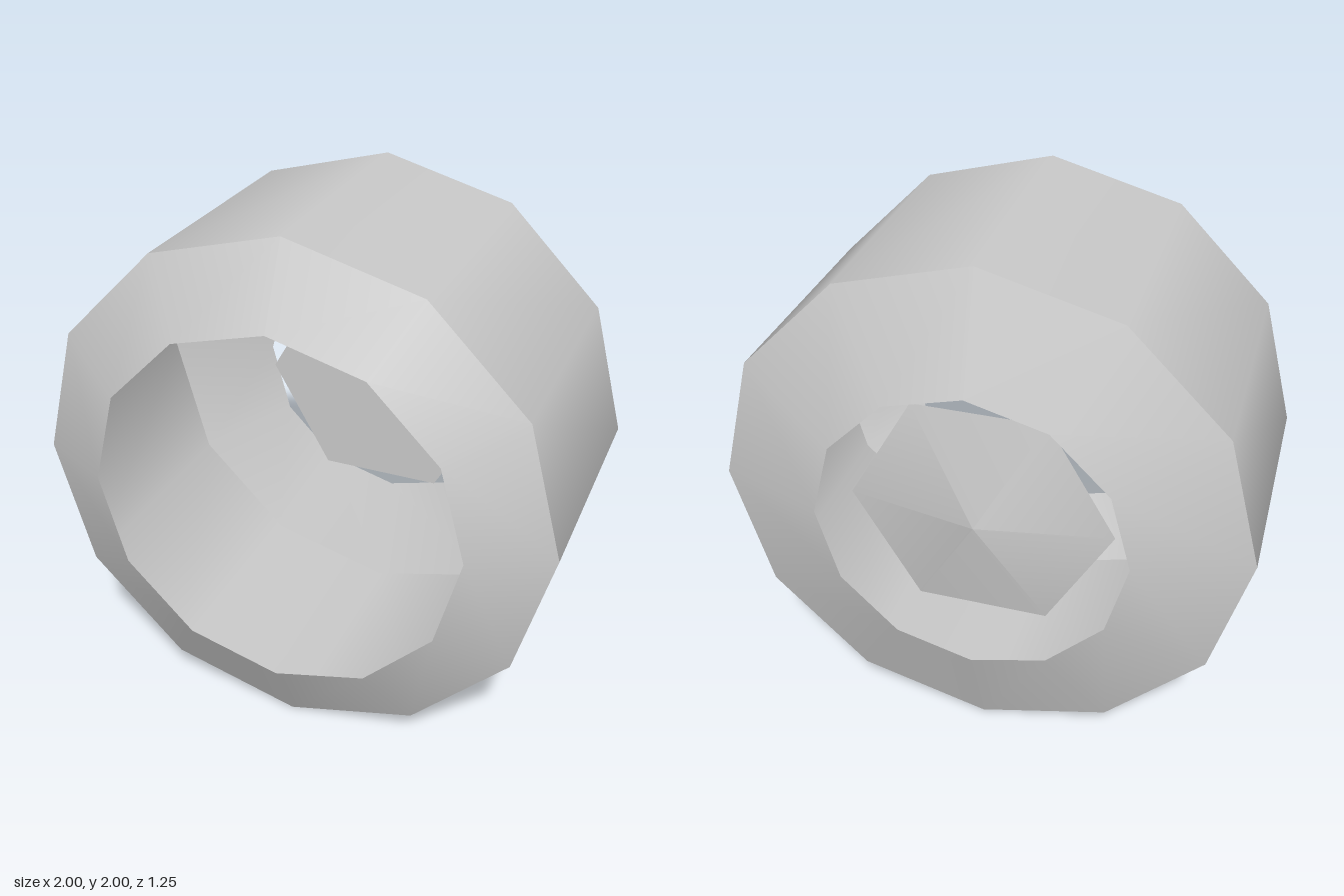
import * as THREE from 'three';

export function createModel() {
  const model = new THREE.Group();
  const grey = new THREE.MeshStandardMaterial({ color: 0xcccccc, side: THREE.DoubleSide });
  grey.name = 'grey';

  const SIDES = 12;

  // Open, thin-walled band along z from a back ring to a front ring
  function band(name, zBack, rBack, zFront, rFront) {
    const geo = new THREE.CylinderGeometry(rFront, rBack, zFront - zBack, SIDES, 1, true);
    geo.rotateX(Math.PI / 2);
    const mesh = new THREE.Mesh(geo, grey);
    mesh.name = name;
    mesh.position.set(0, 1, (zFront + zBack) / 2);
    model.add(mesh);
  }

  // Hollow twelve-sided shell
  band('frontBevel', 0.485, 1, 0.625, 0.71);
  band('outerWall', -0.485, 1, 0.485, 1);
  band('backBevel', -0.625, 0.585, -0.485, 1);

  // Six-sided shallow cone in the back opening, flat towards the front
  const height = 0.09;
  const cone = new THREE.ConeGeometry(0.5, height, 6, 1, false, Math.PI / 2);
  cone.rotateX(-Math.PI / 2);
  const hub = new THREE.Mesh(cone, grey);
  hub.name = 'hubCap';
  hub.position.set(0, 1, -0.47 - height / 2);
  model.add(hub);

  return model;
}
